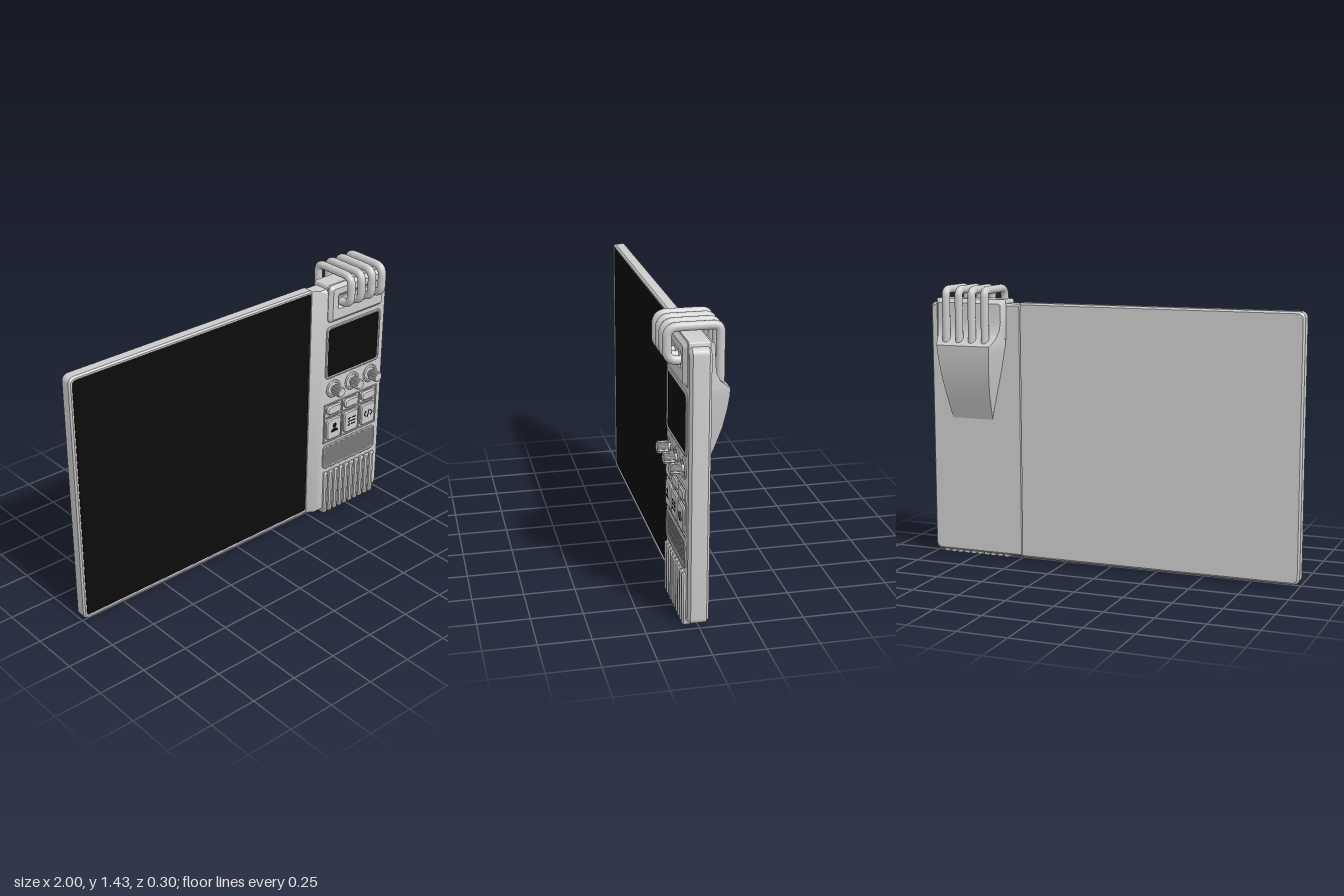
import * as THREE from 'three';
import { toCreasedNormals } from 'three/addons/utils/BufferGeometryUtils.js';

const grey = new THREE.MeshStandardMaterial({ color: 0xcccccc });
const black = new THREE.MeshStandardMaterial({ color: 0x0b0b0b });

// Closed skin through matching loops of points, with fan caps at both ends
function loft(loops) {
  const pos = [], n = loops[0].length;
  const tri = (a, b, c) => pos.push(...a, ...b, ...c);
  for (let k = 0; k + 1 < loops.length; k++) {
    const A = loops[k], B = loops[k + 1];
    for (let i = 0; i < n; i++) {
      const j = (i + 1) % n;
      tri(A[i], A[j], B[j]);
      tri(A[i], B[j], B[i]);
    }
  }
  const first = loops[0], last = loops[loops.length - 1];
  for (let i = 1; i + 1 < n; i++) {
    tri(first[0], first[i + 1], first[i]);
    tri(last[0], last[i], last[i + 1]);
  }
  const g = new THREE.BufferGeometry();
  g.setAttribute('position', new THREE.Float32BufferAttribute(pos, 3));
  return toCreasedNormals(g, 0.5);
}

// Rounded rectangle loop at depth z, separate radii for its left and right corners
function ring(x0, x1, y0, y1, z, rl, rr = rl) {
  const pts = [], corners = [[x1 - rr, y0 + rr, rr, -1], [x1 - rr, y1 - rr, rr, 0], [x0 + rl, y1 - rl, rl, 1], [x0 + rl, y0 + rl, rl, 2]];
  for (const [cx, cy, r, q] of corners)
    for (let i = 0; i <= 5; i++) {
      const a = (q + i / 5) * Math.PI / 2;
      pts.push([cx + r * Math.cos(a), cy + r * Math.sin(a), z]);
    }
  return pts;
}

// Rounded plate with a chamfered front edge
function plate(x0, x1, y0, y1, r, z0, z1, b) {
  return loft([ring(x0, x1, y0, y1, z0, r), ring(x0, x1, y0, y1, z1 - b, r),
    ring(x0 + b, x1 - b, y0 + b, y1 - b, z1, Math.max(r - b, 0.001))]);
}

// Rounded frame with a rounded opening
function frame(x0, x1, y0, y1, r, hole, hr, z0, z1, b) {
  const v = (l) => l.map((p) => new THREE.Vector2(p[0], p[1]));
  const s = new THREE.Shape(v(ring(x0 + b, x1 - b, y0 + b, y1 - b, 0, r)));
  s.holes.push(new THREE.Path(v(ring(...hole, 0, hr)).reverse()));
  const g = new THREE.ExtrudeGeometry(s, { depth: z1 - z0 - b, bevelEnabled: true, bevelSize: b, bevelThickness: b, bevelSegments: 1 });
  return g.translate(0, 0, z0);
}

export function createModel() {
  const model = new THREE.Group();
  const add = (name, g, mat = grey, parent = model) => {
    const m = new THREE.Mesh(g, mat);
    m.name = name;
    parent.add(m);
    return m;
  };
  const group = (name) => {
    const g = new THREE.Group();
    g.name = name;
    model.add(g);
    return g;
  };
  // Thin straight bar between two points of the front face
  const bar = (name, x1, y1, x2, y2, w, z0, z1, mat, parent) => {
    const m = add(name, new THREE.BoxGeometry(Math.hypot(x2 - x1, y2 - y1), w, z1 - z0), mat, parent);
    m.position.set((x1 + x2) / 2, (y1 + y2) / 2, (z0 + z1) / 2);
    m.rotation.z = Math.atan2(y2 - y1, x2 - x1);
  };

  // Wide display panel with a shallow lip on three sides
  const lip = (i, z) => ring(-1 + i, 0.485, 0.012 + i, 1.352 - i, z, 0.032 - i * 0.6, 0.003);
  add('displayPanel', loft([lip(0.01, -0.045), lip(0, -0.035), lip(0, 0.012), lip(0.008, 0.021), lip(0.017, 0.021), lip(0.02, 0.014)]));
  add('displayScreen', plate(-0.979, 0.484, 0.033, 1.331, 0.016, 0.01, 0.0165, 0.001), black);

  // Control column, sloping down towards the display
  const side = (left, i, z) => ring(left, 1 - i, 0.016 + i, 1.345 - i, z, 0.004, 0.03);
  add('controlBody', loft([side(0.492, 0.01, -0.045), side(0.488, 0, -0.033), side(0.488, 0, 0.018),
    side(0.525, 0, 0.042), side(0.545, 0.014, 0.055)]));

  // Head block with a front socket
  const head = (i, z) => ring(0.565 + i, 0.963 - i, 1.155 + i, 1.366 - i, z, 0.012);
  add('headBlock', loft([head(0.022, -0.07), head(0, -0.045), head(0, 0.052), head(0.004, 0.056)]));
  add('socketFrame', frame(0.567, 0.961, 1.157, 1.364, 0.01, [0.62, 0.91, 1.23, 1.312], 0.012, 0.054, 0.076, 0.018));
  add('socketBar', plate(0.635, 0.895, 1.247, 1.292, 0.018, 0.05, 0.064, 0.004));

  // Tapered hump on the back: height, ridge depth, half widths at base and ridge
  const hump = [[0.73, -0.042, 0.115, 0.115], [0.79, -0.066, 0.128, 0.12], [0.86, -0.093, 0.144, 0.125], [0.94, -0.12, 0.162, 0.133],
    [1.03, -0.139, 0.181, 0.142], [1.09, -0.147, 0.192, 0.147], [1.13, -0.15, 0.2, 0.15], [1.145, -0.13, 0.2, 0.158],
    [1.17, -0.1, 0.2, 0.168], [1.21, -0.08, 0.2, 0.177], [1.25, -0.073, 0.198, 0.18], [1.34, -0.07, 0.196, 0.178]];
  add('backHump', loft(hump.map(([y, z, wb, wr]) =>
    [[-wb, -0.03], [wb, -0.03], [wr, z], [-wr, z]].map(([x, d]) => [0.764 + x, y, d]))));

  // Four bent tubes looping over the head
  const corners = [[0.05, 1.262], [0.131, 1.262], [0.131, 1.414], [-0.111, 1.414], [-0.111, 1.11]]
    .map(([z, y]) => new THREE.Vector3(0, y, z));
  const path = new THREE.CurvePath();
  let from = corners[0];
  for (let i = 1; i < 4; i++) {
    const c = corners[i], r = i === 3 ? 0.035 : 0.05;
    const a = c.clone().add(corners[i - 1].clone().sub(c).setLength(r));
    const b = c.clone().add(corners[i + 1].clone().sub(c).setLength(r));
    path.add(new THREE.LineCurve3(from, a));
    path.add(new THREE.QuadraticBezierCurve3(a, c, b));
    from = b;
  }
  path.add(new THREE.LineCurve3(from, corners[4]));
  const tubes = group('tubes');
  const tubeShape = new THREE.TubeGeometry(path, 80, 0.021, 14);
  for (let i = 0; i < 4; i++) add('tube', tubeShape, grey, tubes).position.x = 0.654 + i * 0.0735;

  // Small screen in its bezel
  add('smallScreenBezel', frame(0.563, 0.957, 0.83, 1.132, 0.02, [0.573, 0.947, 0.84, 1.122], 0.018, 0.052, 0.063, 0.004));
  add('smallScreen', plate(0.57, 0.95, 0.837, 1.125, 0.018, 0.05, 0.058, 0.001), black);

  // Fluted knobs on round bases
  const knobs = group('knobs');
  const flutes = [];
  for (let i = 0; i < 48; i++) {
    const a = i / 48 * Math.PI * 2, r = i % 4 < 2 ? 0.03 : 0.026;
    flutes.push([r * Math.cos(a), r * Math.sin(a)]);
  }
  const fluteLoop = (k, z) => flutes.map(([x, y]) => [x * k, y * k, z]);
  const knobShape = loft([fluteLoop(0.9, 0.07), fluteLoop(1, 0.074), fluteLoop(1, 0.115), fluteLoop(0.85, 0.122)]);
  const profile = [[0, 0.05], [0.051, 0.05], [0.051, 0.058], [0.046, 0.063], [0.038, 0.063], [0.034, 0.058], [0.018, 0.058], [0.018, 0.075]];
  const baseShape = toCreasedNormals(new THREE.LatheGeometry(profile.map((p) => new THREE.Vector2(...p)), 32).rotateX(Math.PI / 2), 0.5);
  for (const x of [0.627, 0.764, 0.9]) {
    add('knob', knobShape, grey, knobs).position.set(x, 0.761, 0);
    add('knobBase', baseShape, grey, knobs).position.set(x, 0.761, 0);
  }

  // Button cells and buttons
  const buttons = group('buttons');
  for (const y of [0.446, 0.596, 0.674]) bar('cellRail', 0.564, y, 0.957, y, 0.006, 0.05, 0.061, grey, buttons);
  for (const x of [0.567, 0.698, 0.825, 0.954]) bar('cellDivider', x, 0.446, x, 0.674, 0.006, 0.05, 0.061, grey, buttons);
  for (const x of [0.633, 0.762, 0.89]) {
    add('pillButton', plate(x - 0.053, x + 0.053, 0.61, 0.664, 0.024, 0.05, 0.07, 0.007), grey, buttons);
    add('squareButton', plate(x - 0.053, x + 0.053, 0.458, 0.586, 0.022, 0.05, 0.07, 0.006), grey, buttons);
  }

  // Button symbols: figure, checklist, brackets
  const symbols = group('symbols');
  const mark = (...p) => bar('symbolStroke', ...p, 0.006, 0.068, 0.0715, black, symbols);
  add('figureHead', new THREE.CircleGeometry(0.0145, 24), black, symbols).position.set(0.633, 0.541, 0.0715);
  const shoulders = add('figureShoulders', new THREE.CircleGeometry(0.027, 24, 0, Math.PI), black, symbols);
  shoulders.position.set(0.633, 0.503, 0.0715);
  shoulders.scale.y = 0.8;
  for (const y of [0.504, 0.523, 0.542]) {
    mark(0.76, y, 0.79, y);
    mark(0.736, y, 0.742, y - 0.005);
    mark(0.742, y - 0.005, 0.751, y + 0.006);
  }
  for (const s of [-1, 1]) {
    mark(0.89 + s * 0.016, 0.54, 0.89 + s * 0.031, 0.523);
    mark(0.89 + s * 0.016, 0.506, 0.89 + s * 0.031, 0.523);
  }
  mark(0.884, 0.5, 0.896, 0.546);

  // Speaker grille with diagonal strands
  const grille = group('speakerGrille');
  add('grilleFrame', frame(0.564, 0.957, 0.28, 0.426, 0.025, [0.574, 0.947, 0.29, 0.416], 0.02, 0.05, 0.064, 0.004), grey, grille);
  const slope = 0.6, x0 = 0.576, x1 = 0.945, y0 = 0.292, y1 = 0.414;
  for (let c = y0 - slope * (x1 - x0) + 0.012; c < y1 - 0.005; c += 0.012) {
    const a = Math.max(x0, x0 + (y0 - c) / slope), b = Math.min(x1, x0 + (y1 - c) / slope);
    bar('grilleStrand', a, c + slope * (a - x0), b, c + slope * (b - x0), 0.006, 0.052, 0.06, grey, grille);
  }

  // Vertical ribs that wrap under the bottom edge
  const ribs = group('ribs');
  for (let i = 0; i < 10; i++) {
    const x = 0.588 + i * 0.0392;
    add('rib', plate(x - 0.0135, x + 0.0135, 0, 0.258, 0.004, -0.025, 0.073, 0.008), grey, ribs);
  }
  return model;
}
